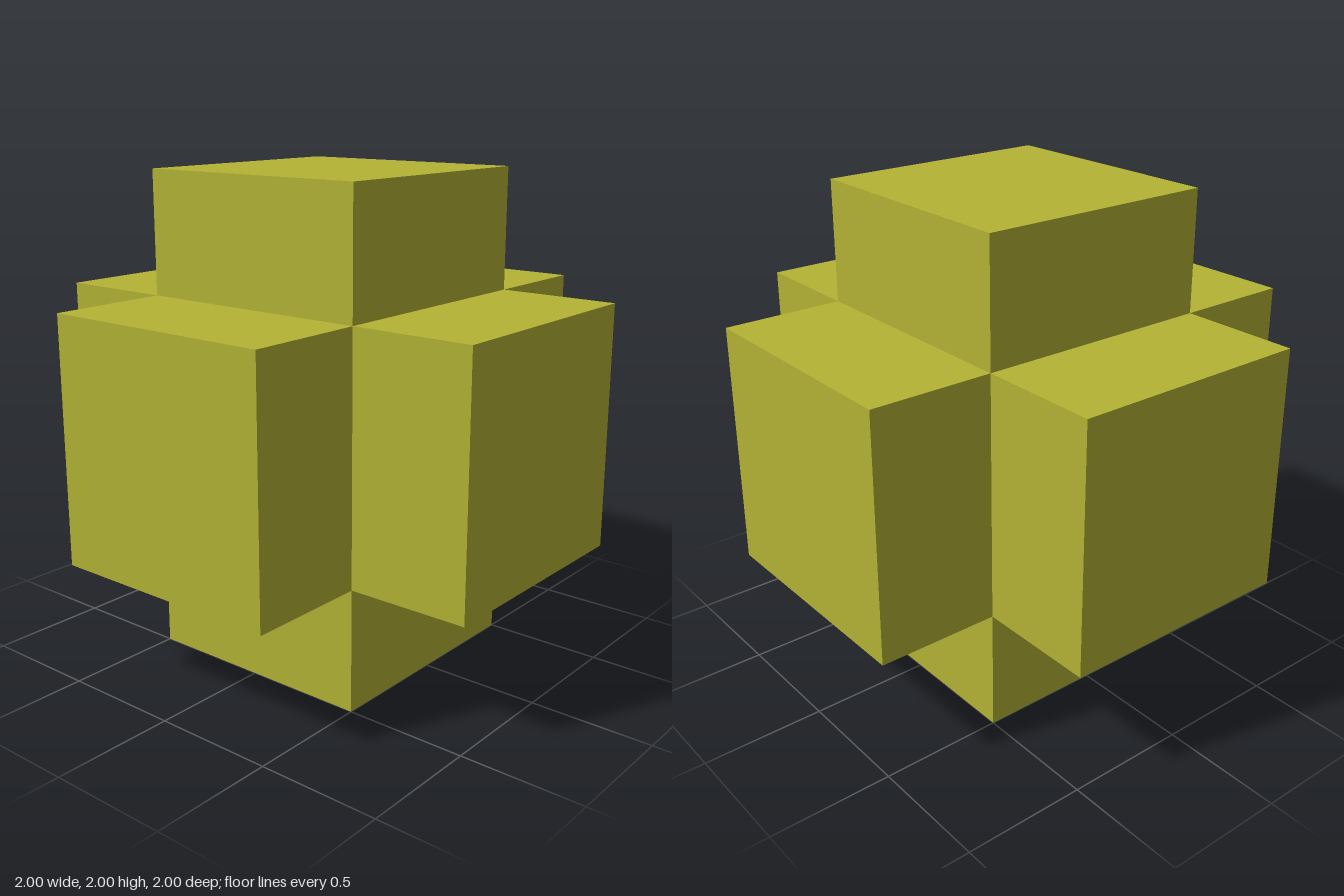
import * as THREE from 'three';

export function createModel() {
  const model = new THREE.Group();
  model.name = 'blockCross';
  const olive = new THREE.MeshStandardMaterial({ color: 0xb3b335 });
  olive.name = 'olive yellow';

  // One arm pointing along +z, left open at its base (the last box face, -z),
  // so that six arms meet edge to edge as one closed shell.
  const armGeometry = new THREE.BoxGeometry(1, 1, 0.5);
  armGeometry.setIndex(Array.from(armGeometry.index.array).slice(0, 30));
  armGeometry.clearGroups();
  armGeometry.translate(0, 0, 0.75);

  const quarter = Math.PI / 2;
  const arms = [
    ['frontArm', 0, 0],
    ['leftArm', 0, quarter],
    ['backArm', 0, Math.PI],
    ['rightArm', 0, -quarter],
    ['topArm', -quarter, 0],
    ['bottomArm', quarter, 0],
  ];
  for (const [name, turnX, turnY] of arms) {
    const arm = new THREE.Mesh(armGeometry, olive);
    arm.name = name;
    arm.rotation.set(turnX, turnY, 0);
    arm.position.y = 1;
    model.add(arm);
  }
  return model;
}
